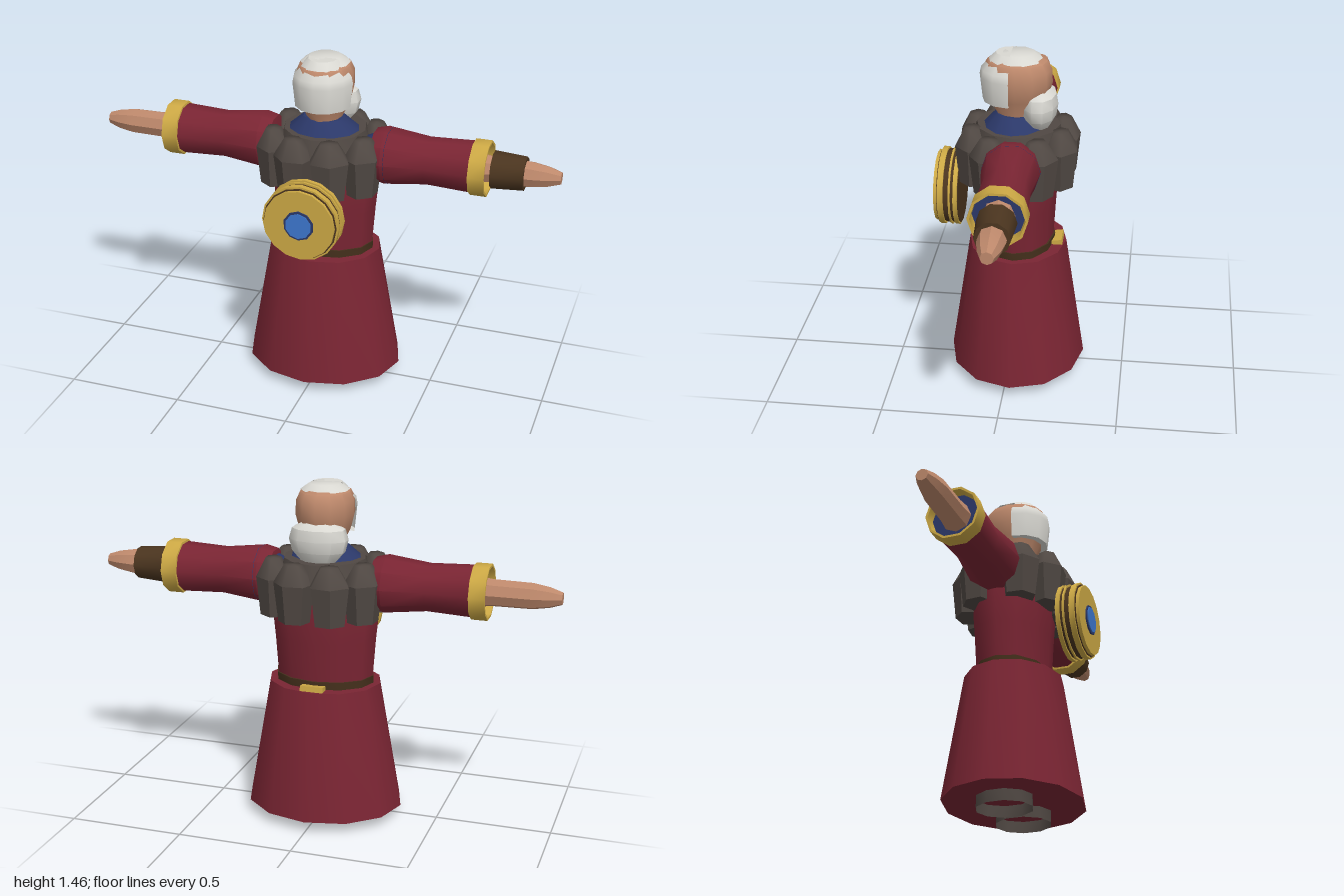
import * as THREE from 'three';
import { toCreasedNormals } from 'three/addons/utils/BufferGeometryUtils.js';

const mat = (name, color, side = THREE.DoubleSide) =>
  Object.assign(new THREE.MeshStandardMaterial({ color, side }), { name });

export function createModel() {
  const red = mat('robe red', 0x7a2533);
  const grey = mat('hide grey', 0x504843);
  const gold = mat('gold', 0xcda945);
  const navy = mat('navy cloth', 0x2b3869);
  const blue = mat('gem blue', 0x3d78cf);
  const skin = mat('skin', 0xbd886b);
  const white = mat('white hair', 0xd9d8d2);
  const brown = mat('leather brown', 0x4b351f);
  const belt = mat('belt brown', 0x45301c);

  const model = new THREE.Group();
  const CZ = -0.03; // body axis

  // Revolved solid from [radius, height] points, creased at hard corners
  const turn = (points, sides, start = 0, length = Math.PI * 2, crease = 0.7) => toCreasedNormals(
    new THREE.LatheGeometry(points.map(([r, y]) => new THREE.Vector2(r, y)), sides, start, length), crease);

  const add = (name, geometry, material, x = 0, y = 0, z = 0, parent = model) => {
    const mesh = new THREE.Mesh(geometry, material);
    mesh.name = name;
    mesh.position.set(x, y, z);
    parent.add(mesh);
    return mesh;
  };

  // Boots, open underneath
  for (const s of [-1, 1]) {
    add(s > 0 ? 'leftBoot' : 'rightBoot',
      turn([[0.111, 0], [0.111, 0.08]], 10).scale(1, 1, 1.09), grey, s * 0.111, 0, CZ);
  }

  // Robe and belt
  add('skirt', turn([[0, 0.05], [0.345, 0.05], [0.245, 0.605], [0, 0.605]], 12).scale(1, 1, 0.855), red, 0, 0, CZ);
  add('torso', turn([[0.21, 0.6], [0.225, 0.8], [0.24, 0.95], [0.22, 1.08], [0.14, 1.145], [0, 1.145]], 12)
    .scale(1, 1, 0.72), red, 0, 0, CZ);
  add('belt', turn([[0.215, 0.6], [0.217, 0.638], [0.19, 0.638]], 12).scale(1, 1, 0.74), belt, 0, 0, CZ);
  const buckle = add('buckle', new THREE.BoxGeometry(0.1, 0.035, 0.05), gold, 0, 0.607, -0.2);
  buckle.rotation.x = 0.15;

  // Mantle of overlapping hide lappets
  add('mantleYoke', turn([[0.2, 1.06], [0.175, 1.148], [0, 1.148]], 12), grey, 0, 0, CZ);
  const lappet = turn([[0, 0.905], [0.78, 0.905], [1, 1.07], [0.45, 1.15], [0, 1.15]], 6, 0, Math.PI * 2, 0.2)
    .scale(0.09, 1, 0.075);
  for (const side of [0, Math.PI]) {
    for (const deg of [-60, -20, 20, 60]) {
      const a = side + deg * Math.PI / 180;
      const mesh = add('mantleLappet', lappet, grey, 0.225 * Math.sin(a), 0, CZ + 0.195 * Math.cos(a));
      mesh.rotation.y = a;
    }
  }
  add('collar', turn([[0.16, 1.14], [0.09, 1.2], [0, 1.2]], 12).scale(1, 1, 0.85), navy, 0, 0, -0.015);

  // Arms: profiles run outward along x
  for (const s of [-1, 1]) {
    const arm = new THREE.Group();
    arm.name = s > 0 ? 'leftArm' : 'rightArm';
    arm.position.set(0, 1.05, CZ);
    arm.rotation.z = -s * Math.PI / 2;
    model.add(arm);
    const part = (name, points, material, sides = 10) => add(name, turn(points, sides), material, 0, 0, 0, arm);
    part('sleeve', [[0, 0.2], [0.11, 0.22], [0.122, 0.27], [0.1, 0.45], [0.109, 0.66]], red);
    part('cuff', [[0.105, 0.635], [0.117, 0.637], [0.117, 0.705], [0.107, 0.705], [0.103, 0.65]], gold);
    part('cuffLining', [[0.105, 0.66], [0, 0.66]], navy);
    part('forearm', [[0.066, 0.64], [0.057, 0.72], [0.055, 0.88], [0.043, 0.95], [0.026, 1], [0, 1]], skin, 8);
    if (s > 0) {
      part('bracer', [[0, 0.72], [0.079, 0.72], [0.07, 0.855], [0, 0.855]], brown);
      part('shoulderLining', [[0.05, 0.13], [0.121, 0.285], [0, 0.285]], navy);
    }
  }

  // Head, hair and beard
  add('head', turn([[0.07, 1.14], [0.075, 1.2], [0.108, 1.27], [0.123, 1.33], [0.122, 1.39], [0.106, 1.425],
    [0.06, 1.452], [0, 1.452]], 12).scale(1, 1, 1.18), skin, 0, 0, -0.025);
  add('hair', turn([[0, 1.255], [0.117, 1.255], [0.128, 1.36], [0.122, 1.39], [0.085, 1.435], [0.062, 1.458],
    [0, 1.458]], 6, -Math.PI / 2, Math.PI).scale(1, 1, 1.03), white);
  add('crown', turn([[0.104, 1.432], [0.066, 1.458], [0, 1.458]], 10), white, 0, 0, -0.03);
  add('beard', turn([[0, 1.145], [0.075, 1.145], [0.115, 1.19], [0.128, 1.24], [0.115, 1.285], [0.07, 1.31],
    [0, 1.31]], 10).scale(1, 1, 0.61), white, 0, 0, -0.117);

  // Round ornament standing off the chest
  const ornament = new THREE.Group();
  ornament.name = 'ornament';
  ornament.position.set(0, 0.84, 0);
  ornament.rotation.x = Math.PI / 2;
  model.add(ornament);
  const disc = (name, r, from, to, material, sides = 16) =>
    add(name, turn([[0, from], [r, from], [r, to], [0, to]], sides), material, 0, 0, 0, ornament);
  disc('ornamentCore', 0.158, 0.209, 0.3, brown);
  for (const [from, to] of [[0.212, 0.23], [0.242, 0.25], [0.272, 0.296]]) {
    add('ornamentBand', turn([[0.15, from], [0.166, from], [0.166, to], [0.15, to]], 16), gold, 0, 0, 0, ornament);
  }
  disc('ornamentFace', 0.152, 0.298, 0.314, gold);
  disc('gemRim', 0.065, 0.312, 0.32, navy, 10);
  disc('gem', 0.056, 0.312, 0.324, blue, 10);

  return model;
}
